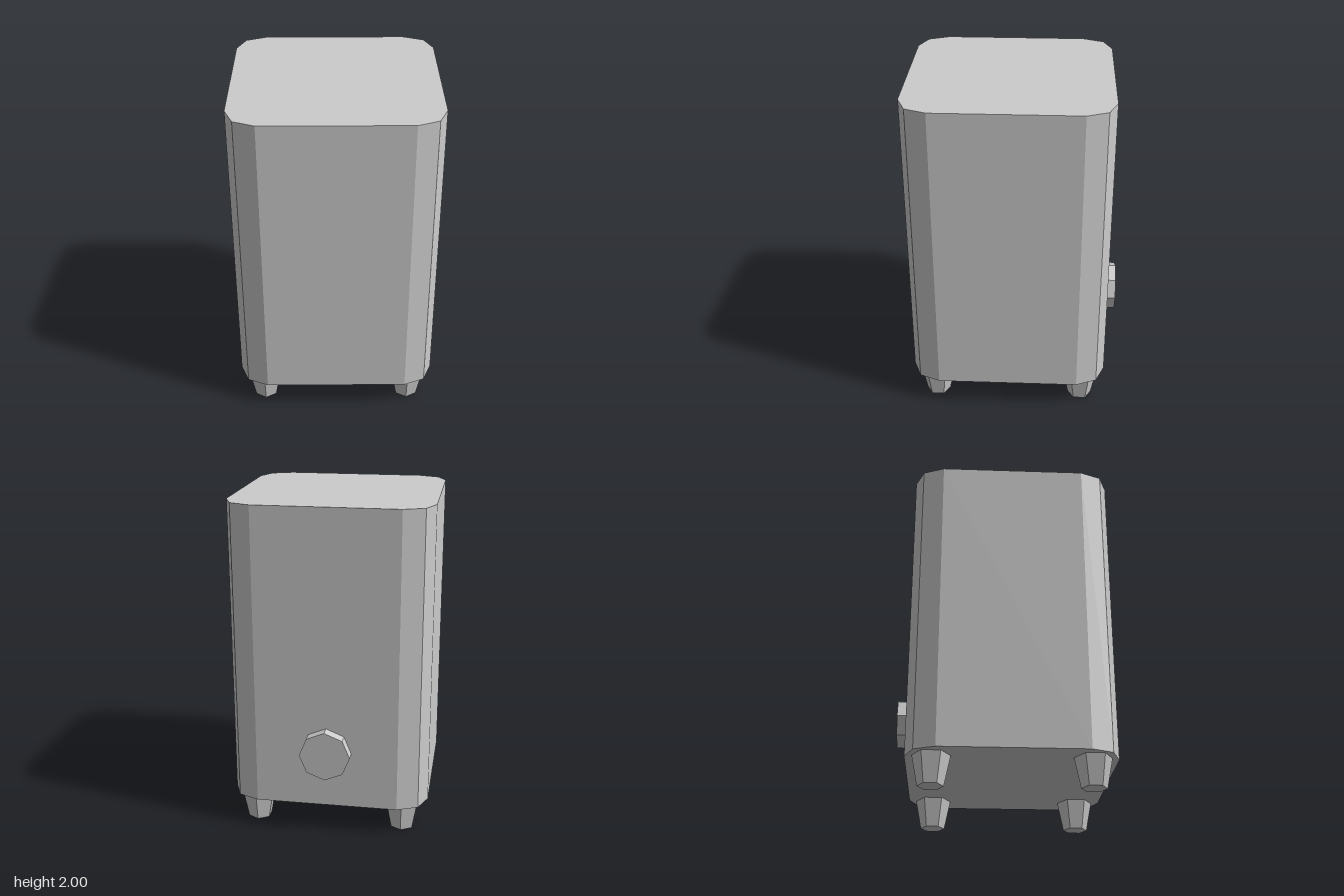
import * as THREE from 'three';

const material = new THREE.MeshStandardMaterial({ color: 0xcccccc, flatShading: true });

function addPart(group, name, geometry, x, y, z) {
  const mesh = new THREE.Mesh(geometry, material);
  mesh.name = name;
  mesh.position.set(x, y, z);
  group.add(mesh);
  return mesh;
}

export function createModel() {
  const group = new THREE.Group();
  group.name = 'cabinet';
  const half = 0.604, corner = 0.176, bottom = 0.177, centreZ = 0.034;

  // Cabinet: a square with two-facet rounded corners, extruded upwards
  const outline = [];
  const c = half - corner;
  [[c, c], [-c, c], [-c, -c], [c, -c]].forEach(([x, y], quarter) => {
    for (let i = 0; i <= 2; i++) {
      const a = (quarter + i / 2) * Math.PI / 2;
      outline.push(new THREE.Vector2(x + corner * Math.cos(a), y + corner * Math.sin(a)));
    }
  });
  const body = new THREE.ExtrudeGeometry(new THREE.Shape(outline), { depth: 2 - bottom, bevelEnabled: false });
  body.rotateX(-Math.PI / 2);
  addPart(group, 'body', body, 0, bottom, centreZ);

  // Four tapered six-sided feet
  const foot = new THREE.CylinderGeometry(0.109, 0.074, bottom, 6);
  for (const [side, sx] of [['left', 1], ['right', -1]]) {
    for (const [end, sz] of [['front', 1], ['back', -1]]) {
      addPart(group, `${end} ${side} foot`, foot, sx * 0.45, bottom / 2, centreZ + sz * 0.453);
    }
  }

  // Octagonal disc on the back
  const disc = new THREE.CylinderGeometry(0.152, 0.152, 0.068, 8);
  disc.rotateX(Math.PI / 2);
  addPart(group, 'back knob', disc, 0, 0.527, -0.604);

  return group;
}
